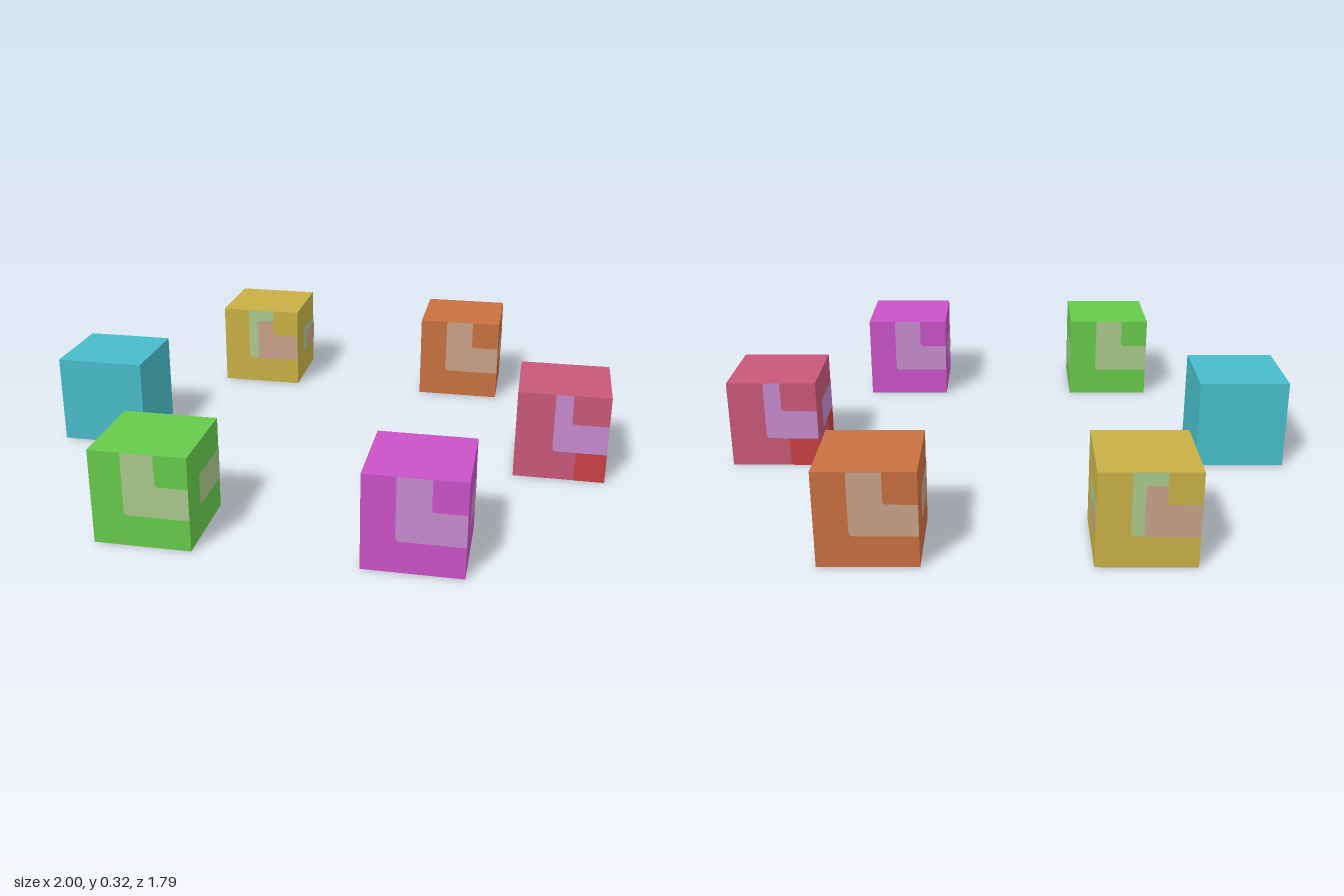
import * as THREE from 'three';

const SIDE = 0.316;

function mat(name, color) {
  const m = new THREE.MeshStandardMaterial({ color });
  m.name = name;
  return m;
}

// Shape on a unit face (u right, v up); corners listed as [u, v, chamfer]
function faceShape(points) {
  const shape = new THREE.Shape();
  points.forEach(([u, v, c = 0], i) => {
    const prev = points[(i + points.length - 1) % points.length];
    const next = points[(i + 1) % points.length];
    const here = new THREE.Vector2(u, v);
    const toward = (p) => here.clone().add(new THREE.Vector2(p[0] - u, p[1] - v).setLength(c));
    const a = c ? toward(prev) : here;
    if (i === 0) shape.moveTo((a.x - 0.5) * SIDE, (a.y - 0.5) * SIDE);
    else shape.lineTo((a.x - 0.5) * SIDE, (a.y - 0.5) * SIDE);
    if (c) {
      const b = toward(next);
      shape.quadraticCurveTo((u - 0.5) * SIDE, (v - 0.5) * SIDE, (b.x - 0.5) * SIDE, (b.y - 0.5) * SIDE);
    }
  });
  return new THREE.ShapeGeometry(shape, 4);
}

const A = 1 / 3, B = 2 / 3;
const rect = (u0, v0, u1, v1, c = 0) => [[u0, v0, c], [u1, v0], [u1, v1], [u0, v1, c]];
// Band that comes down from the top edge and turns to the right edge
const elbow = (u0, u1, v0, v1, top = 1) => [[u0, v0, 0.05], [1, v0], [1, v1], [u1, v1, 0.04], [u1, top], [u0, top]];

export function createModel() {
  const model = new THREE.Group();
  model.name = 'cubeRing';

  const cyan = mat('cyan', 0x48bcc9);
  const rose = mat('rose', 0xc85878);
  const magenta = mat('magenta', 0xc852c6);
  const green = mat('green', 0x66c94a);
  const orange = mat('orange', 0xc87040);
  const gold = mat('gold', 0xc8b046);
  const paleGreen = mat('pale green', 0xa8c88c);
  const lilac = mat('lilac', 0xc48acd);
  const tan = mat('tan', 0xc8a088);
  const red = mat('red', 0xc84042);

  const boxGeometry = new THREE.BoxGeometry(SIDE, SIDE, SIDE);

  function addCube(name, material, x, z) {
    const group = new THREE.Group();
    group.name = name;
    const body = new THREE.Mesh(boxGeometry, material);
    body.name = name + 'Body';
    group.add(body);
    group.position.set(x, SIDE / 2, z);
    model.add(group);
    return group;
  }

  // Thin painted face laid on a side of the cube; turn 0 is the front
  function paint(cube, name, points, material, turn, layer = 1) {
    const geometry = faceShape(points).translate(0, 0, SIDE / 2 + 0.0012 * layer);
    const mesh = new THREE.Mesh(geometry, material);
    mesh.name = name;
    mesh.rotation.y = turn * Math.PI / 2;
    cube.add(mesh);
  }

  // Elbows on front and back, straight bands on the two sides
  function paintBands(cube, material, elbowPoints, bandPoints, layer = 1) {
    for (const turn of [0, 2]) paint(cube, 'elbowBand', elbowPoints, material, turn, layer);
    for (const turn of [1, 3]) paint(cube, 'sideBand', bandPoints, material, turn, layer);
  }

  const wideElbow = elbow(A, B, A, B);
  const wideBand = rect(A, A, 1, B, 0.05);

  // Six cubes in a ring
  addCube('cyanCube', cyan, -0.842, 0);
  const roseCube = addCube('roseCube', rose, 0.842, 0);
  const greenCube = addCube('greenCube', green, -0.421, 0.737);
  const magentaCube = addCube('magentaCube', magenta, 0.421, 0.737);
  const goldCube = addCube('goldCube', gold, -0.421, -0.737);
  const orangeCube = addCube('orangeCube', orange, 0.421, -0.737);

  paintBands(greenCube, paleGreen, wideElbow, wideBand);
  paintBands(magentaCube, lilac, wideElbow, wideBand);
  paintBands(orangeCube, tan, wideElbow, wideBand);

  // Gold cube: tan band over a pale green one
  paintBands(goldCube, paleGreen, wideElbow, wideBand);
  paintBands(goldCube, tan, elbow(0.46, B, A, B, 0.86), rect(0.55, A, 1, 0.56, 0.04), 2);

  // Rose cube: narrow lilac band and red corner patches
  paintBands(roseCube, lilac, elbow(0.41, 0.6, A, B), wideBand);
  for (let turn = 0; turn < 4; turn++) paint(roseCube, 'cornerPatch', rect(B, 0, 1, A), red, turn);
  for (const u of [0, B]) {
    for (const v of [0, B]) {
      const geometry = faceShape(rect(u, v, u + A, v + A)).rotateX(Math.PI / 2);
      const patch = new THREE.Mesh(geometry, red);
      patch.name = 'undersidePatch';
      patch.position.y = -SIDE / 2 - 0.0012;
      roseCube.add(patch);
    }
  }

  model.position.y = 0;
  return model;
}
